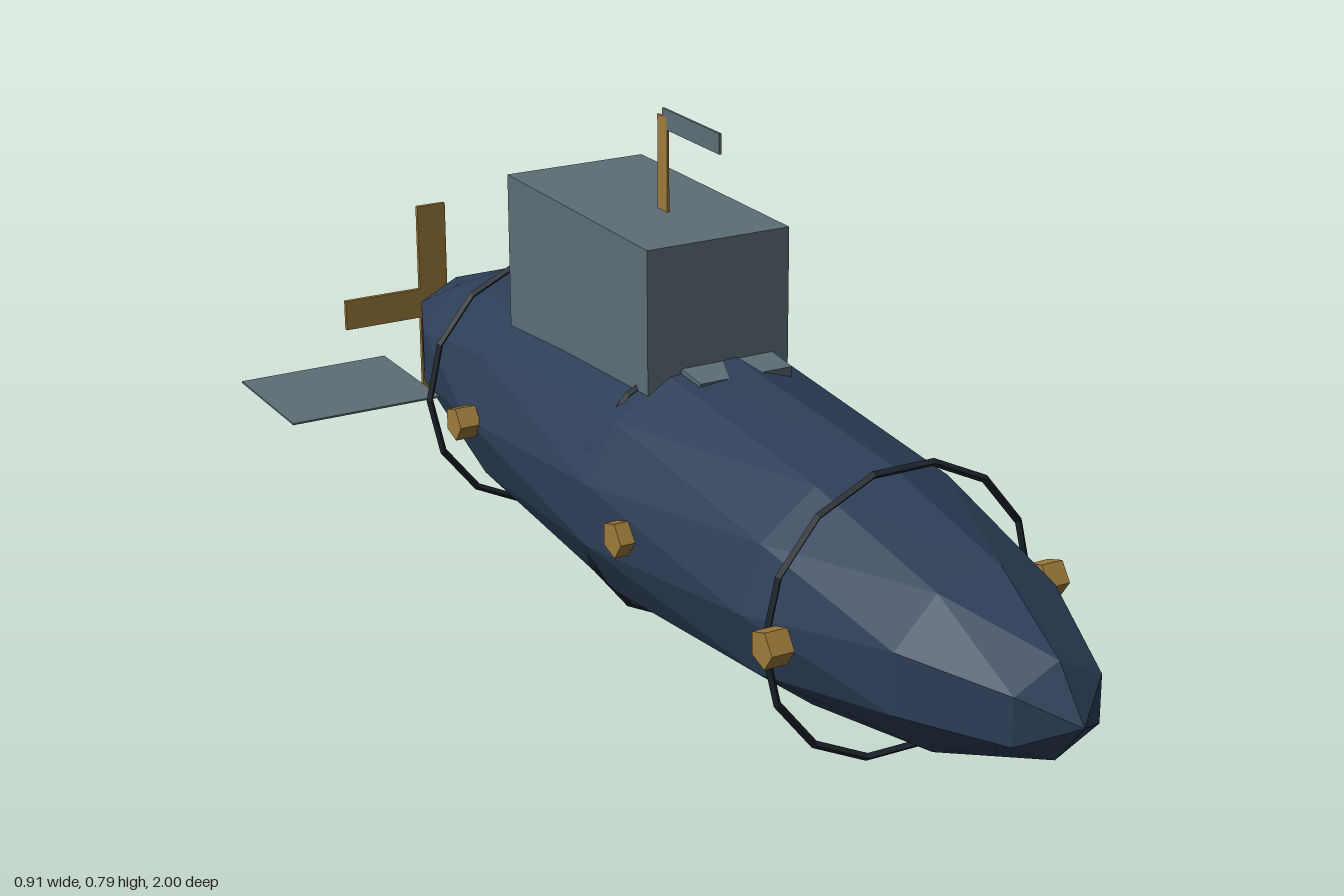
import * as THREE from 'three';
import { ConvexGeometry } from 'three/addons/geometries/ConvexGeometry.js';

const mat = (color) => new THREE.MeshStandardMaterial({ color, flatShading: true, side: THREE.DoubleSide });

export function createModel() {
  const group = new THREE.Group();
  const navy = mat(0x2c3e57), grey = mat(0x5d6d75), dark = mat(0x1c242c), brass = mat(0x9c7a3a);

  const add = (name, geometry, material, x, y, z) => {
    const mesh = new THREE.Mesh(geometry, material);
    mesh.name = name;
    mesh.position.set(x, y, z);
    group.add(mesh);
    return mesh;
  };
  const box = (name, w, h, d, material, x, y, z) =>
    add(name, new THREE.BoxGeometry(w, h, d), material, x, y, z);

  // Faceted hull: staggered rings of points on a long ellipsoid
  const points = [];
  const rings = [[0, 1], [20, 6], [40, 9], [62, 11], [88, 13], [116, 11], [140, 9], [160, 6], [180, 1]];
  rings.forEach(([degrees, count], row) => {
    const polar = THREE.MathUtils.degToRad(degrees);
    for (let i = 0; i < count; i++) {
      const a = ((i + (row % 2) * 0.5) / count) * Math.PI * 2;
      points.push(new THREE.Vector3(
        Math.sin(polar) * Math.cos(a) * 0.237,
        Math.sin(polar) * Math.sin(a) * 0.21,
        Math.cos(polar) * 0.973));
    }
  });
  add('hull', new ConvexGeometry(points), navy, 0, 0.238, 0.025);

  // Thin hoops around the hull
  for (const z of [0.57, 0.025, -0.525]) {
    add('hullBand', new THREE.TorusGeometry(0.221, 0.006, 4, 14), dark, 0, 0.231, z);
  }

  // Conning tower with a small step in front
  box('conningTower', 0.246, 0.3, 0.47, grey, 0, 0.49, -0.173);
  box('towerStep', 0.16, 0.02, 0.14, grey, 0.015, 0.435, 0.05).rotation.x = 0.1;

  // Periscope, flat from side to side
  box('periscopeMast', 0.004, 0.16, 0.03, brass, 0, 0.71, -0.11);
  box('periscopeHead', 0.004, 0.032, 0.175, grey, 0, 0.787, -0.023);

  // Side portholes and stern planes
  for (const side of [-1, 1]) {
    for (const z of [0.605, 0.175, -0.375]) {
      const porthole = add('porthole', new THREE.CylinderGeometry(0.029, 0.029, 0.036, 5), brass, side * 0.229, 0.245, z);
      porthole.rotation.z = -side * Math.PI / 2;
    }
    box('sternPlane', 0.265, 0.003, 0.233, grey, side * 0.325, 0.225, -0.664);
  }

  // Four-bladed propeller
  box('propellerBladeVertical', 0.055, 0.37, 0.008, brass, 0, 0.235, -0.994);
  box('propellerBladeHorizontal', 0.35, 0.055, 0.008, brass, 0, 0.235, -0.994);

  return group;
}
